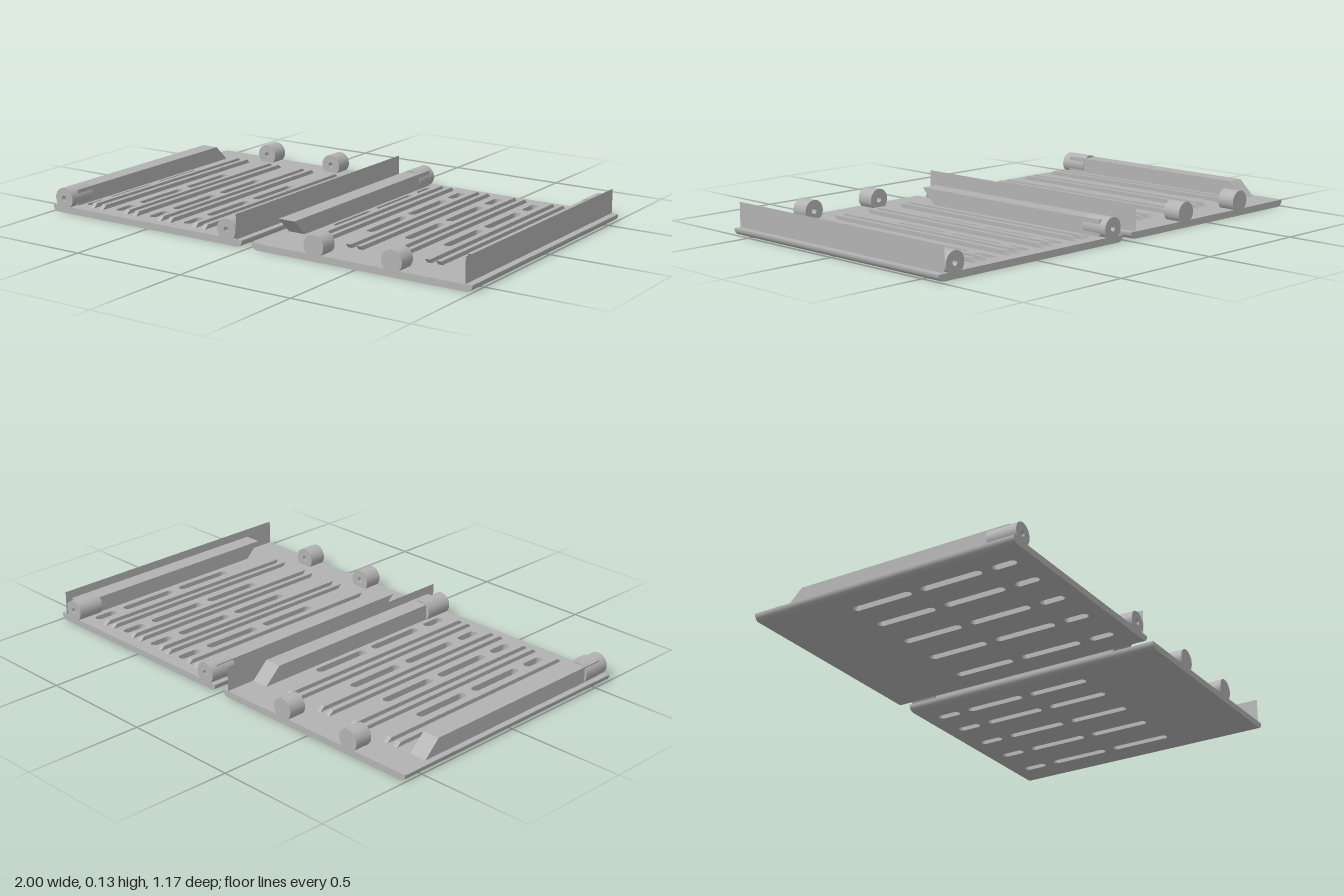
import * as THREE from 'three';

const grey = new THREE.MeshStandardMaterial({ color: 0xb2b2b2 });
grey.name = 'plain grey';
const greySheet = new THREE.MeshStandardMaterial({ color: 0xb2b2b2, side: THREE.DoubleSide });
greySheet.name = 'plain grey sheet';

const HALF = 0.587;   // half depth in z
const TOP = 0.028;    // top of the base plates
const EDGE = 0.025;   // rounded edge width

function add(parent, name, geometry, material = grey) {
  const mesh = new THREE.Mesh(geometry, material);
  mesh.name = name;
  parent.add(mesh);
  return mesh;
}

// Prism along x from a side outline of [z, y] points
function sidePrism(points, x, width) {
  const shape = new THREE.Shape(points.map(([z, y]) => new THREE.Vector2(-z, y)));
  return new THREE.ExtrudeGeometry(shape, { depth: width, bevelEnabled: false })
    .rotateY(Math.PI / 2).translate(x - width / 2, 0, 0);
}

// Flat plate with rounded slots and quarter-round lower side edges
function addPlate(parent, x0, x1, slotXs, slotRanges) {
  const a = x0 + EDGE, b = x1 - EDGE, r = 0.0175;
  const shape = new THREE.Shape();
  shape.moveTo(a, -HALF).lineTo(b, -HALF).lineTo(b, HALF).lineTo(a, HALF).closePath();
  for (const x of slotXs) for (const [z0, z1] of slotRanges) {
    const hole = new THREE.Path();
    hole.moveTo(x + r, -z1 + r);
    hole.lineTo(x + r, -z0 - r);
    hole.absarc(x, -z0 - r, r, 0, Math.PI, false);
    hole.lineTo(x - r, -z1 + r);
    hole.absarc(x, -z1 + r, r, Math.PI, Math.PI * 2, false);
    shape.holes.push(hole);
  }
  add(parent, 'basePlate', new THREE.ExtrudeGeometry(shape,
    { depth: TOP, bevelEnabled: false, curveSegments: 8 }).rotateX(-Math.PI / 2));

  for (const [x, side] of [[a, -1], [b, 1]]) {
    const edge = new THREE.Shape();
    edge.moveTo(x, 0);
    edge.absarc(x, EDGE, EDGE, -Math.PI / 2, side > 0 ? 0 : -Math.PI, side < 0);
    edge.lineTo(x + side * EDGE, TOP).lineTo(x, TOP).closePath();
    add(parent, 'roundedEdge', new THREE.ExtrudeGeometry(edge,
      { depth: HALF * 2, bevelEnabled: false, curveSegments: 8 }).translate(0, 0, -HALF));
  }
}

// Hinge knuckle along z with a blind bore in the end at zBore
function addKnuckle(parent, name, x, zPlain, zBore) {
  const R = 0.045, r = 0.012, L = Math.abs(zBore - zPlain);
  const ring = [[0, 0], [R, 0], [R, 0], [R, L], [R, L], [r, L], [r, L], [r, L - 0.03], [r, L - 0.03], [0, L - 0.03]];
  // separate bands keep the rims crisp
  const group = new THREE.Group();
  group.name = name;
  for (let i = 0; i < ring.length; i += 2) {
    const band = [ring[i], ring[i + 1]].map(([u, v]) => new THREE.Vector2(u, v));
    add(group, 'knuckleSurface', new THREE.LatheGeometry(band, 32));
  }
  group.rotation.x = zBore > zPlain ? Math.PI / 2 : -Math.PI / 2;
  group.position.set(x, 0.06, zPlain);
  parent.add(group);
}

// Thin upright side wall with two screw holes
function addWall(parent, x) {
  const shape = new THREE.Shape();
  shape.moveTo(-HALF, TOP).lineTo(HALF, TOP).lineTo(HALF, 0.13).lineTo(-HALF, 0.13).closePath();
  for (const z of [0.295, -0.36]) {
    const hole = new THREE.Path();
    hole.absarc(-z, 0.06, 0.012, 0, Math.PI * 2, true);
    shape.holes.push(hole);
  }
  add(parent, 'sideWall', new THREE.ShapeGeometry(shape, 12)
    .rotateY(Math.PI / 2).translate(x, 0, 0), greySheet);
}

const panels = [
  {
    name: 'rightPanel', x0: -1, x1: -0.027,
    slotXs: [-0.869, -0.714, -0.537, -0.361, -0.17],
    slotRanges: [[-0.214, 0.052], [0.098, 0.365], [0.411, 0.515]],
    ribXs: [-0.826, -0.778, -0.65, -0.602, -0.473, -0.425, -0.297, -0.249],
    rib: [[-0.457, TOP], [-0.437, 0.045], [0.525, 0.045], [0.545, TOP]],
    railXs: [-0.937, -0.093],
    rail: [[-0.455, TOP], [-0.385, 0.095], [0.55, 0.095], [0.55, TOP]],
    corners: [-0.94, -0.102], cornerZ: [0.46, HALF],
    middles: [-0.71, -0.361], middleZ: [-HALF, -0.51],
    wall: -0.054,
  },
  {
    name: 'leftPanel', x0: 0.022, x1: 1,
    slotXs: [0.152, 0.307, 0.484, 0.66, 0.848],
    slotRanges: [[-0.525, -0.42], [-0.374, -0.107], [-0.064, 0.203]],
    ribXs: [0.195, 0.243, 0.372, 0.42, 0.548, 0.596, 0.725, 0.773],
    rib: [[-0.54, TOP], [-0.52, 0.045], [0.445, 0.045], [0.43, TOP]],
    railXs: [0.084, 0.932],
    rail: [[-0.555, TOP], [-0.555, 0.095], [0.445, 0.095], [0.375, TOP]],
    corners: [0.08, 0.92], cornerZ: [-0.47, -HALF],
    middles: [0.31, 0.658], middleZ: [HALF, 0.51],
    wall: 0.971,
  },
];

export function createModel() {
  const model = new THREE.Group();
  model.name = 'slottedPanelPair';
  for (const p of panels) {
    const panel = new THREE.Group();
    panel.name = p.name;
    addPlate(panel, p.x0, p.x1, p.slotXs, p.slotRanges);
    for (const x of p.ribXs) add(panel, 'rib', sidePrism(p.rib, x, 0.02));
    for (const x of p.railXs) add(panel, 'sideRail', sidePrism(p.rail, x, 0.075));
    for (const x of p.corners) addKnuckle(panel, 'cornerKnuckle', x, ...p.cornerZ);
    for (const x of p.middles) addKnuckle(panel, 'middleKnuckle', x, ...p.middleZ);
    addWall(panel, p.wall);
    model.add(panel);
  }
  return model;
}
